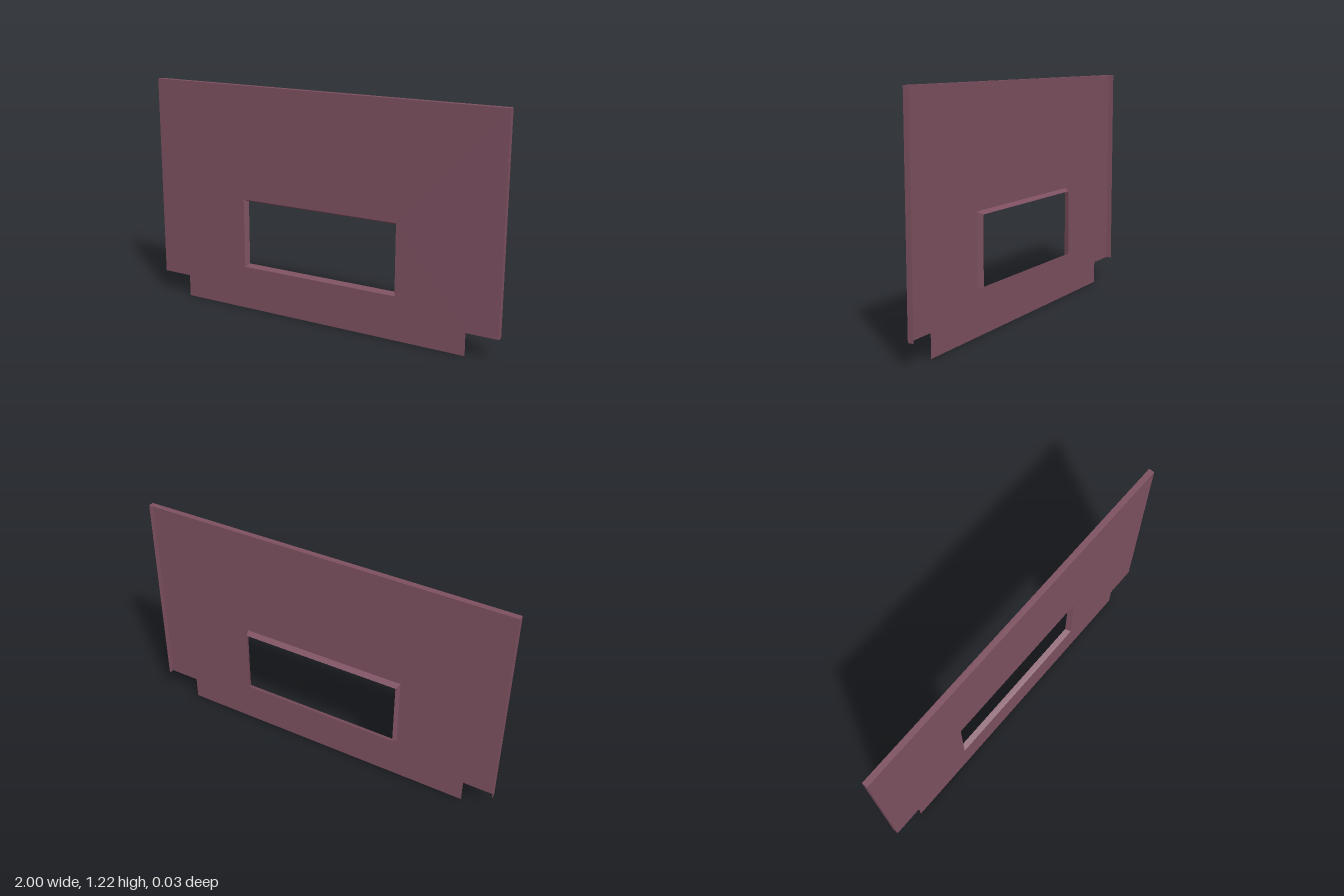
import * as THREE from 'three';

const FRONT = 0.015, BACK = -0.015;
const material = new THREE.MeshStandardMaterial({
  color: 0x7d5060, side: THREE.DoubleSide, flatShading: true,
});

const rect = (x, y0, y1) => [[-x, y0], [x, y0], [x, y1], [-x, y1]];
const toPoints = (list) => list.map(([x, y]) => new THREE.Vector2(x, y));

// Band of quads from an outline on the front plane to one on the back plane
function flange(name, front, back, closed) {
  const positions = [], index = [], n = front.length;
  const count = closed ? n : n - 1;
  for (let i = 0; i < count; i++) {
    const j = (i + 1) % n, k = i * 4;
    positions.push(...front[i], FRONT, ...front[j], FRONT, ...back[j], BACK, ...back[i], BACK);
    index.push(k, k + 2, k + 1, k, k + 3, k + 2);
  }
  const geometry = new THREE.BufferGeometry();
  geometry.setAttribute('position', new THREE.Float32BufferAttribute(positions, 3));
  geometry.setIndex(index);
  geometry.computeVertexNormals();
  const mesh = new THREE.Mesh(geometry, material);
  mesh.name = name;
  return mesh;
}

export function createModel() {
  const group = new THREE.Group();
  group.name = 'windowPanel';

  // Thin front sheet with a lower tab and a window opening
  const opening = rect(0.45, 0.235, 0.612);
  const shape = new THREE.Shape(toPoints([
    [-0.832, 0], [0.832, 0], [0.832, 0.12], [1, 0.12],
    [1, 1.22], [-1, 1.22], [-1, 0.12], [-0.832, 0.12],
  ]));
  shape.holes.push(new THREE.Path(toPoints(opening).reverse()));
  const sheet = new THREE.Mesh(new THREE.ShapeGeometry(shape), material);
  sheet.name = 'frontSheet';
  sheet.position.z = FRONT;
  group.add(sheet);

  // Folded edge over the sides and top; the back and bottom stay open
  const edge = [[1, 0.12], [1, 1.22], [-1, 1.22], [-1, 0.12]];
  group.add(flange('outerFlange', edge, edge, false));

  // Window reveal, narrowing towards the back
  group.add(flange('windowReveal', [...opening].reverse(), rect(0.437, 0.248, 0.598).reverse(), true));

  return group;
}
